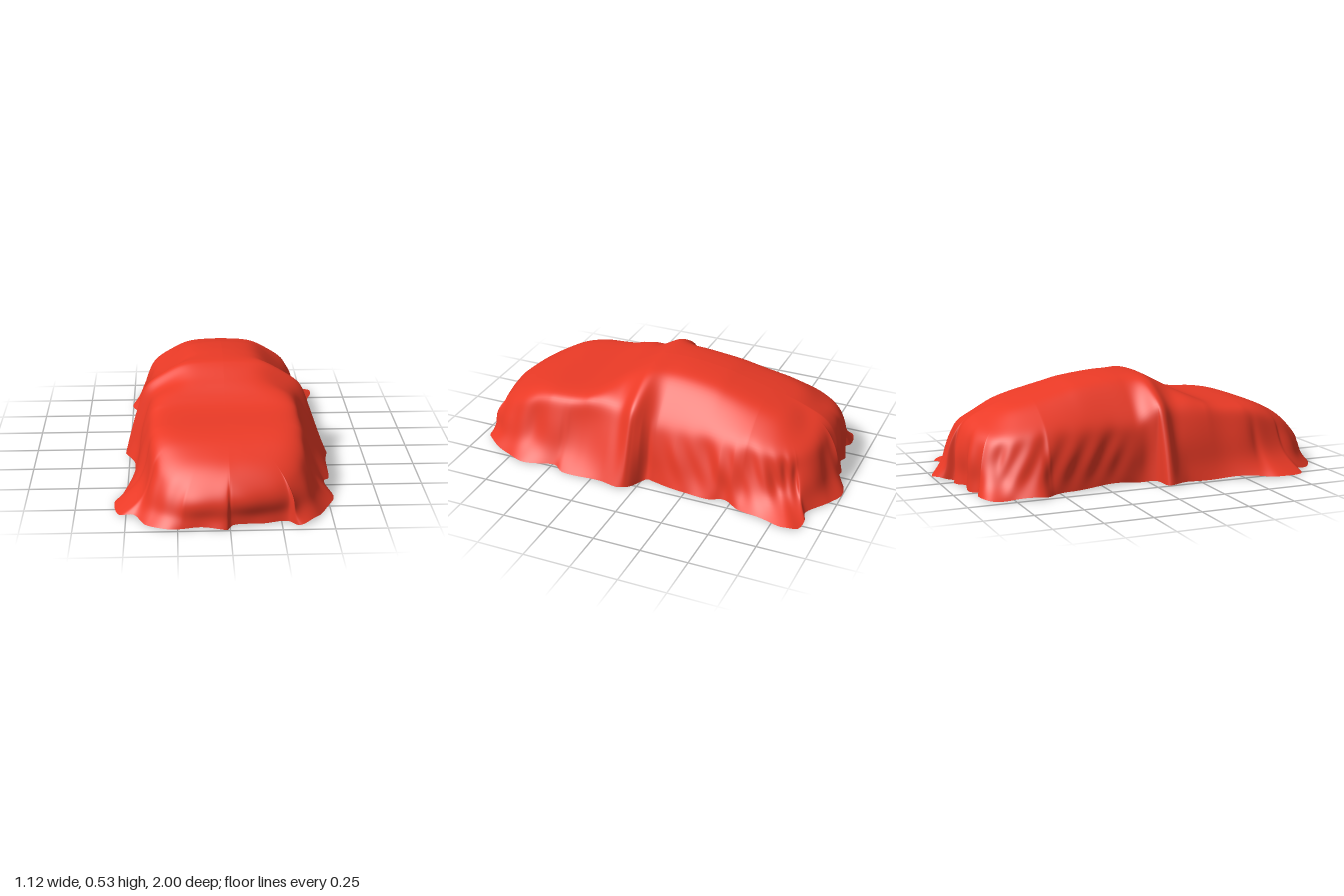
import * as THREE from 'three';

// Hem of the cloth on the ground, as x, z pairs, from the front centre round by the left side
const HEM = [
  0.01, 0.965, 0.15, 0.945, 0.28, 0.92, 0.34, 0.96, 0.42, 0.89, 0.48, 0.78, 0.53, 0.66, 0.5, 0.48,
  0.53, 0.42, 0.54, 0.2, 0.555, 0.08, 0.53, 0.04, 0.44, -0.015, 0.435, -0.06, 0.46, -0.22, 0.47, -0.38, 0.455, -0.47,
  0.495, -0.56, 0.53, -0.7, 0.56, -0.82, 0.54, -0.88, 0.47, -0.9, 0.39, -0.88, 0.26, -0.96, 0.15, -1,
  0.07, -0.97, 0.04, -0.91, -0.04, -0.935, -0.12, -0.9, -0.2, -0.91, -0.28, -0.875, -0.34, -0.9, -0.45, -0.87,
  -0.47, -0.75, -0.5, -0.61, -0.45, -0.53, -0.42, -0.4, -0.385, -0.2, -0.37, -0.05, -0.41, 0.03, -0.52, 0.06,
  -0.47, 0.2, -0.48, 0.4, -0.52, 0.58, -0.56, 0.68, -0.53, 0.82, -0.46, 0.84, -0.4, 0.93, -0.3, 0.99,
  -0.15, 0.98, -0.02, 0.995,
];

// Height of the covered body along its centre line, as z, y pairs
const RIDGE = [
  -1, 0.24, -0.9, 0.305, -0.86, 0.34, -0.8, 0.374, -0.7, 0.407, -0.6, 0.432, -0.4, 0.485, -0.3, 0.51,
  -0.15, 0.53, -0.05, 0.535, 0.05, 0.531, 0.1, 0.515, 0.2, 0.462, 0.3, 0.41, 0.4, 0.378, 0.6, 0.362,
  0.7, 0.342, 0.78, 0.311, 0.85, 0.285, 0.9, 0.262, 1, 0.19,
];

const { lerp, smoothstep, clamp, mapLinear } = THREE.MathUtils;
const pairs = (a, make) => Array.from({ length: a.length / 2 }, (_, i) => make(a[2 * i], a[2 * i + 1]));
const bump = (v, centre, width) => Math.exp(-(((v - centre) / width) ** 2));
const ridgePoints = new THREE.SplineCurve(pairs(RIDGE, (z, y) => new THREE.Vector2(z, y))).getPoints(300);

function ridgeHeight(z) {
  let i = 1;
  while (i < ridgePoints.length - 1 && ridgePoints[i].x < z) i++;
  const a = ridgePoints[i - 1], b = ridgePoints[i];
  return mapLinear(z, a.x, b.x, a.y, b.y);
}

// Height of the shoulder line: lower behind the side mirrors and at the four corners, lifted over the mirrors
function shoulderHeight(z, corner) {
  const side = lerp(0.315, 0.375, smoothstep(z, -0.07, 0.04));
  return Math.min(side, ridgeHeight(z) - 0.02) - 0.035 * corner + 0.025 * bump(z, 0.06, 0.05);
}

// Point of the rounded body outline below the spoke that runs out to a hem point
function bodySpoke(p) {
  const cz = clamp(p.z, -0.55, 0.55);
  const dx = p.x, dz = p.z - cz;
  const halfWidth = 0.375 - 0.012 * bump(cz, -0.2, 0.2) + 0.04 * bump(cz, 0.06, 0.05);
  const depth = dz > 0 ? 0.38 : 0.325;
  const n = 2.9;
  const r = (Math.abs(dx / halfWidth) ** n + Math.abs(dz / depth) ** n) ** (-1 / n);
  const out = new THREE.Vector2(dx, dz).normalize();
  return { cz, x: dx * r, z: cz + dz * r, out, corner: Math.abs(2 * out.x * out.y) };
}

// Flat roof, then a slope down to the belt line
const cabinFall = (s) => (s < 0.5 ? 0.36 * s * s : 0.09 + 0.91 * ((s - 0.5) / 0.5) ** 1.15);

// One line of cloth from the centre line, over the shoulder and down to the hem
function drapeLine(p, a, topRings, skirtRings) {
  const body = bodySpoke(p);
  const { out, corner } = body;
  const line = [];

  for (let j = 0; j <= topRings; j++) {
    const s = j / topRings;
    const z = lerp(body.cz, body.z, s);
    const top = ridgeHeight(z);
    const drop = top - shoulderHeight(z, corner);
    const fall = lerp(s ** 8, cabinFall(s), smoothstep(drop, 0.03, 0.11));
    line.push(new THREE.Vector3(body.x * s, top - drop * fall, z));
  }

  // The skirt flares late where the hem spreads far out, and hangs straight from the mirrors
  const ox = p.x - body.x, oz = p.z - body.z;
  const mirror = bump(p.z, 0.06, p.x > 0 && p.z > 0.06 ? 0.28 : 0.07);
  const flare = 1 + 22 * Math.max(0, Math.hypot(ox, oz) - 0.09) * (1 - mirror);
  const hemHeight = 0.008 + 0.004 * Math.sin(a * 17) + 0.003 * Math.sin(a * 29 + 1);
  const shoulder = line[topRings].y;
  const rearSide = smoothstep(-p.z, 0.05, 0.2) * smoothstep(Math.abs(p.x), 0.3, 0.4);
  const bulge = (0.018 + 0.01 * smoothstep(p.z, 0.8, 0.95) - 0.012 * bump(p.z, -0.2, 0.25)) * (1 - mirror);
  for (let j = 1; j <= skirtRings; j++) {
    const t = j / skirtRings;
    const q = t ** flare;
    // Hanging folds, slanting backwards along the rear sides
    const fold = 0.004 * Math.sin(a * 23 + t) + 0.003 * Math.sin(a * 41 - t)
      + 0.006 * rearSide * Math.sin((p.z + 0.18 * t) * 48);
    const push = fold * Math.sin(Math.PI * t) + bulge * Math.sin(Math.PI * Math.min(1, t * 1.3));
    line.push(new THREE.Vector3(
      body.x + ox * q + out.x * push,
      lerp(shoulder, hemHeight, t),
      body.z + oz * q + out.y * push,
    ));
  }

  // Relax the line so the cloth rolls softly over the shoulder
  for (let pass = 0; pass < 10; pass++) {
    const old = line.map((v) => v.clone());
    for (let j = 1; j < line.length - 1; j++) {
      line[j].copy(old[j - 1]).add(old[j + 1]).multiplyScalar(0.5).lerp(old[j], 0.5);
    }
  }
  return line;
}

function clothGeometry(spokes = 640, topRings = 24, skirtRings = 24) {
  const curve = new THREE.CatmullRomCurve3(pairs(HEM, (x, z) => new THREE.Vector3(x, 0, z)), true);
  const hem = curve.getPoints(spokes).slice(0, spokes);
  const rings = topRings + skirtRings + 1;
  const pos = [], index = [];

  hem.forEach((p, i) => {
    const line = drapeLine(p, (i / spokes) * Math.PI * 2, topRings, skirtRings);
    line.forEach((v) => pos.push(v.x, v.y, v.z));
    const here = i * rings, next = ((i + 1) % spokes) * rings;
    for (let j = 0; j < rings - 1; j++) {
      index.push(here + j, here + j + 1, next + j);
      index.push(next + j, here + j + 1, next + j + 1);
    }
  });

  const geometry = new THREE.BufferGeometry();
  geometry.setAttribute('position', new THREE.Float32BufferAttribute(pos, 3));
  geometry.setIndex(index);
  geometry.computeVertexNormals();
  return geometry;
}

export function createModel() {
  const group = new THREE.Group();
  group.name = 'coveredCar';
  const material = new THREE.MeshStandardMaterial({ color: 0xea3a26, side: THREE.DoubleSide });
  const cover = new THREE.Mesh(clothGeometry(), material);
  cover.name = 'clothCover';
  group.add(cover);
  return group;
}
